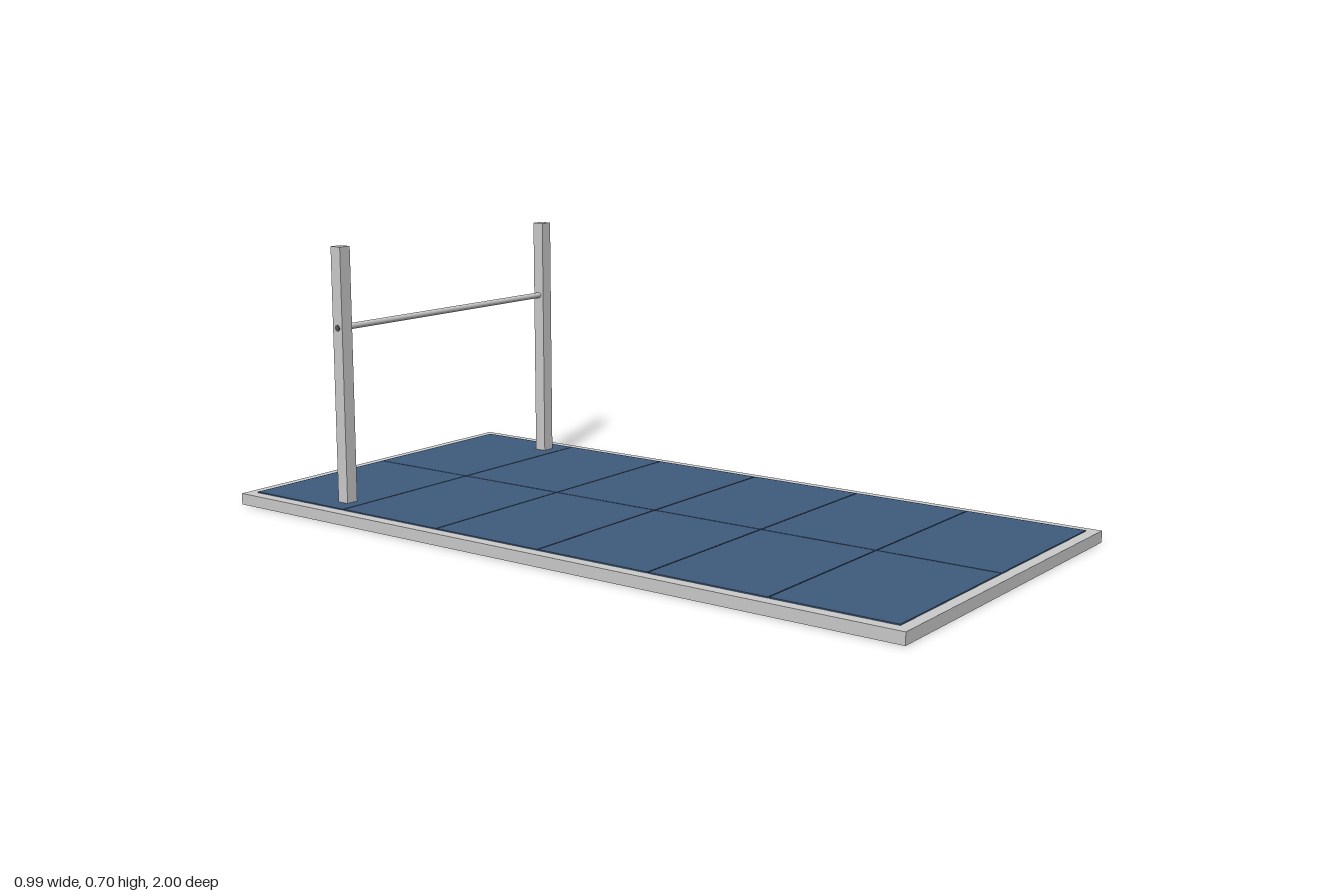
import * as THREE from 'three';

const grey = new THREE.MeshStandardMaterial({ color: 0xcccccc });
const blue = new THREE.MeshStandardMaterial({ color: 0x3f5b7d });
const dark = new THREE.MeshStandardMaterial({ color: 0x55555a });

export function createModel() {
  const model = new THREE.Group();

  const add = (name, geometry, material, x, y, z) => {
    const mesh = new THREE.Mesh(geometry, material);
    mesh.name = name;
    mesh.position.set(x, y, z);
    model.add(mesh);
    return mesh;
  };
  const box = (name, w, h, d, material, x, y, z) =>
    add(name, new THREE.BoxGeometry(w, h, d), material, x, y, z);

  // Rectangular rim of the platform, open in the middle
  const W = 0.497, L = 1, inW = 0.468, inL = 0.972, H = 0.03;
  const rect = (path, w, l) =>
    path.moveTo(-w, -l).lineTo(w, -l).lineTo(w, l).lineTo(-w, l).closePath();
  const outline = new THREE.Shape();
  rect(outline, W, L);
  const opening = new THREE.Path();
  rect(opening, inW, inL);
  outline.holes.push(opening);
  const rim = new THREE.ExtrudeGeometry(outline, { depth: H, bevelEnabled: false });
  rim.rotateX(-Math.PI / 2);
  add('platformRim', rim, grey, 0, 0, 0);

  // Deck under the mats and dark panel beneath it
  box('deck', inW * 2, 0.022, inL * 2, grey, 0, 0.019, 0);
  box('undersidePanel', inW * 2, 0.006, inL * 2, dark, 0, 0.005, 0);

  // Two columns of six mats with narrow seams
  const cols = 2, rows = 6, gap = 0.003;
  const tw = inW * 2 / cols, tl = inL * 2 / rows;
  for (let c = 0; c < cols; c++) {
    for (let r = 0; r < rows; r++) {
      box('mat', tw - gap, 0.003, tl - gap, blue,
        -inW + (c + 0.5) * tw, H + 0.0015, -inL + (r + 0.5) * tl);
    }
  }

  // Small pads under the platform
  for (const [x, z, w, d] of [[-0.42, -0.68, 0.06, 0.09], [0.36, 0.83, 0.03, 0.1], [-0.39, 0.83, 0.02, 0.09]]) {
    box('pad', w, 0.002, d, grey, x, 0.001, z);
  }

  // Uprights with the end caps of the bar on their outer faces
  const postX = 0.4, postZ = -0.7, barY = 0.492;
  for (const side of [-1, 1]) {
    box('upright', 0.035, 0.671, 0.033, grey, side * postX, 0.3655, postZ);
    const cap = add('barEndCap', new THREE.CylinderGeometry(0.008, 0.008, 0.004, 20),
      dark, side * 0.4175, barY, postZ);
    cap.rotation.z = Math.PI / 2;
  }

  // Round crossbar between the uprights
  const bar = add('crossbar', new THREE.CylinderGeometry(0.008, 0.008, 0.8, 24), grey, 0, barY, postZ);
  bar.rotation.z = Math.PI / 2;

  return model;
}
